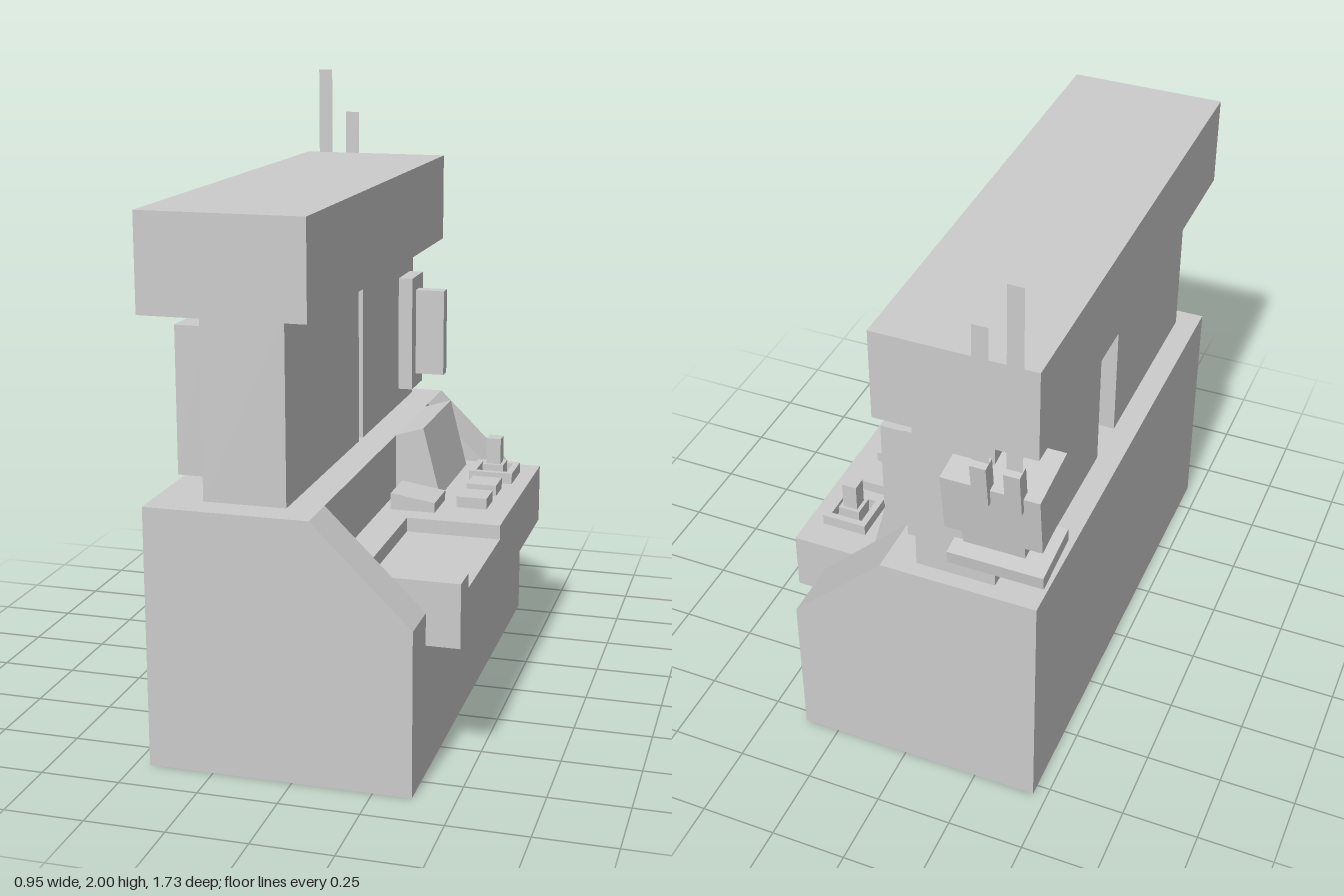
import * as THREE from 'three';

const grey = new THREE.MeshStandardMaterial({ color: 0xcccccc, flatShading: true });
const thin = new THREE.MeshStandardMaterial({ color: 0xcccccc, flatShading: true, side: THREE.DoubleSide });

export function createModel() {
  const model = new THREE.Group();

  // Box given by its extents on each axis
  function box(name, [x0, x1], [y0, y1], [z0, z1], parent = model) {
    const mesh = new THREE.Mesh(new THREE.BoxGeometry(x1 - x0, y1 - y0, z1 - z0), grey);
    mesh.position.set((x0 + x1) / 2, (y0 + y1) / 2, (z0 + z1) / 2);
    mesh.name = name;
    parent.add(mesh);
  }

  // Side profile in x and y, extruded from z0 to z1
  function prism(name, points, z0, z1) {
    const shape = new THREE.Shape(points.map(([x, y]) => new THREE.Vector2(x, y)));
    const geometry = new THREE.ExtrudeGeometry(shape, { depth: z1 - z0, bevelEnabled: false });
    geometry.translate(0, 0, z0);
    const mesh = new THREE.Mesh(geometry, grey);
    mesh.name = name;
    model.add(mesh);
  }

  // Base: sloped cheeks at both ends, stepped body between them
  const cheek = [[-0.455, 0], [0.37, 0], [0.37, 0.52], [0.06, 0.825], [-0.455, 0.825]];
  prism('rearCheek', cheek, -0.787, -0.58);
  prism('frontCheek', cheek, 0.708, 0.864);
  prism('baseBody', [[-0.455, 0], [0.37, 0], [0.37, 0.5], [0.06, 0.5], [0.06, 0.825], [-0.455, 0.825]], -0.58, 0.708);

  // Counter with a shallow tray open to the edge
  box('counterSlab', [0.06, 0.475], [0.418, 0.573], [-0.58, 0.708]);
  box('counterTopRear', [0.06, 0.475], [0.573, 0.62], [-0.58, 0.137]);
  box('counterTopFront', [0.06, 0.475], [0.573, 0.62], [0.607, 0.708]);
  box('counterTopInner', [0.06, 0.165], [0.573, 0.62], [0.137, 0.607]);

  // Pillars with an inset panel on the back of each
  for (const [z0, z1] of [[-0.735, -0.06], [-0.01, 0.765]]) {
    box('pillar', [-0.3, -0.04], [0.825, 1.4], [z0, z1]);
    box('pillarPanel', [-0.4, -0.3], [0.885, 1.345], [z0 + 0.055, z1 - 0.055]);
  }
  box('hood', [-0.455, 0.06], [1.4, 1.703], [-0.787, 0.864]);

  // Wall plate and handle
  box('wallPlate', [-0.04, 0.01], [0.885, 1.29], [-0.685, -0.53]);
  box('wallHandle', [0.01, 0.113], [0.933, 1.24], [-0.633, -0.585]);

  // Controls on the counter
  prism('console', [[0.06, 0.62], [0.215, 0.62], [0.155, 0.855], [0.06, 0.825]], -0.53, -0.12);
  prism('slopedPad', [[0.09, 0.62], [0.24, 0.62], [0.24, 0.653], [0.09, 0.676]], -0.09, 0.062);
  for (const z of [-0.224, -0.068]) box('button', [0.295, 0.397], [0.62, 0.657], [z - 0.05, z + 0.05]);

  // Lever in a square socket
  const [cx, cz] = [0.345, -0.405];
  const square = (h) => [[cx - h, cx + h], [cz - h, cz + h]];
  const [ox, oz] = square(0.076), [ix, iz] = square(0.054);
  box('socketRim', ox, [0.62, 0.657], [oz[0], iz[0]]);
  box('socketRim', ox, [0.62, 0.657], [iz[1], oz[1]]);
  box('socketRim', [ox[0], ix[0]], [0.62, 0.657], iz);
  box('socketRim', [ix[1], ox[1]], [0.62, 0.657], iz);
  const [kx, kz] = square(0.037), [sx, sz] = square(0.025);
  box('leverCollar', kx, [0.62, 0.674], kz);
  box('leverStick', sx, [0.674, 0.765], sz);

  // Tilted aerial bracket at the rear corner
  const bracket = new THREE.Group();
  bracket.name = 'aerialBracket';
  bracket.position.set(0, 1.077, -0.805);
  bracket.rotation.x = -0.128;
  model.add(bracket);
  box('bracketBlock', [-0.478, -0.17], [0, 0.21], [0, 0.21], bracket);
  box('bracketStrut', [-0.4, -0.2], [-0.11, 0], [0.05, 0.2], bracket);
  box('bracketFoot', [-0.478, -0.17], [-0.155, -0.108], [-0.005, 0.2], bracket);

  // Aerials: flat blades held by clips
  for (const [x, top] of [[-0.402, 2], [-0.3, 1.848]]) {
    box('aerialClip', [x - 0.025, x + 0.025], [0.16, 0.311], [-0.017, 0.03], bracket);
    const blade = new THREE.Mesh(new THREE.PlaneGeometry(0.05, top - 1.3), thin);
    blade.position.set(x, (top + 1.3) / 2, -0.837);
    blade.name = 'aerial';
    model.add(blade);
  }
  return model;
}
